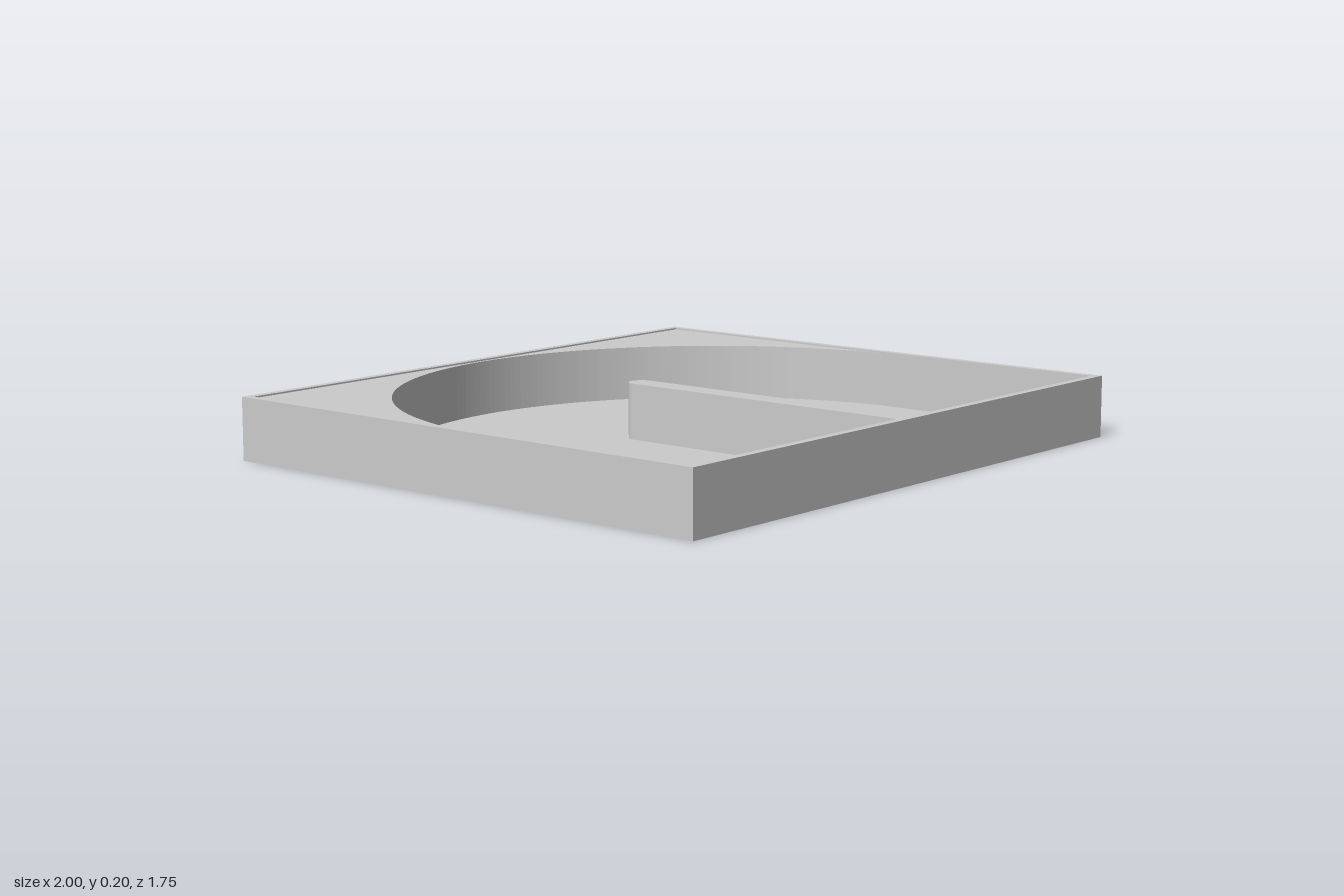
import * as THREE from 'three';

const W = 1, D = 0.875, H = 0.195; // half width, half depth, height
const WALL = 0.025, FLOOR = 0.015, LIP = 0.005;
const IX = W - WALL, IZ = D - WALL; // inner half sizes

const material = new THREE.MeshStandardMaterial({ color: 0xcccccc, flatShading: true });

// Extrudes a plan drawn in (x, -z) upwards from y0 to y1.
function slab(name, shape, y0, y1, curveSegments = 12) {
  const geometry = new THREE.ExtrudeGeometry(shape, { depth: y1 - y0, bevelEnabled: false, curveSegments });
  geometry.rotateX(-Math.PI / 2).translate(0, y0, 0);
  const mesh = new THREE.Mesh(geometry, material);
  mesh.name = name;
  return mesh;
}

function rectangle(x, z, Type = THREE.Shape) {
  return new Type([[-x, -z], [x, -z], [x, z], [-x, z]].map(([a, b]) => new THREE.Vector2(a, b)));
}

export function createModel() {
  const group = new THREE.Group();
  group.name = 'tray';

  // Thin base plate
  group.add(slab('floor', rectangle(W, D), 0, FLOOR));

  // Thin wall around the edge
  const rim = rectangle(W, D);
  rim.holes.push(rectangle(IX, IZ, THREE.Path));
  group.add(slab('rim', rim, FLOOR, H));

  // Solid back corners, cut by a wide arc
  const R = 0.98, centre = -0.14;
  const start = Math.acos(IX / R);
  const back = new THREE.Shape();
  back.moveTo(IX, IZ);
  back.lineTo(-IX, IZ);
  back.lineTo(-IX, centre + R * Math.sin(start));
  back.absarc(0, centre, R, Math.PI - start, start, true);
  back.closePath();
  group.add(slab('curvedBack', back, FLOOR, H - LIP, 64));

  // Central divider with a rounded free end
  const r = 0.04;
  const divider = new THREE.Shape();
  divider.moveTo(-r, -IZ);
  divider.lineTo(r, -IZ);
  divider.lineTo(r, 0.165);
  divider.absarc(0, 0.165, r, 0, Math.PI, false);
  divider.closePath();
  group.add(slab('divider', divider, FLOOR, H - LIP, 8));

  return group;
}
